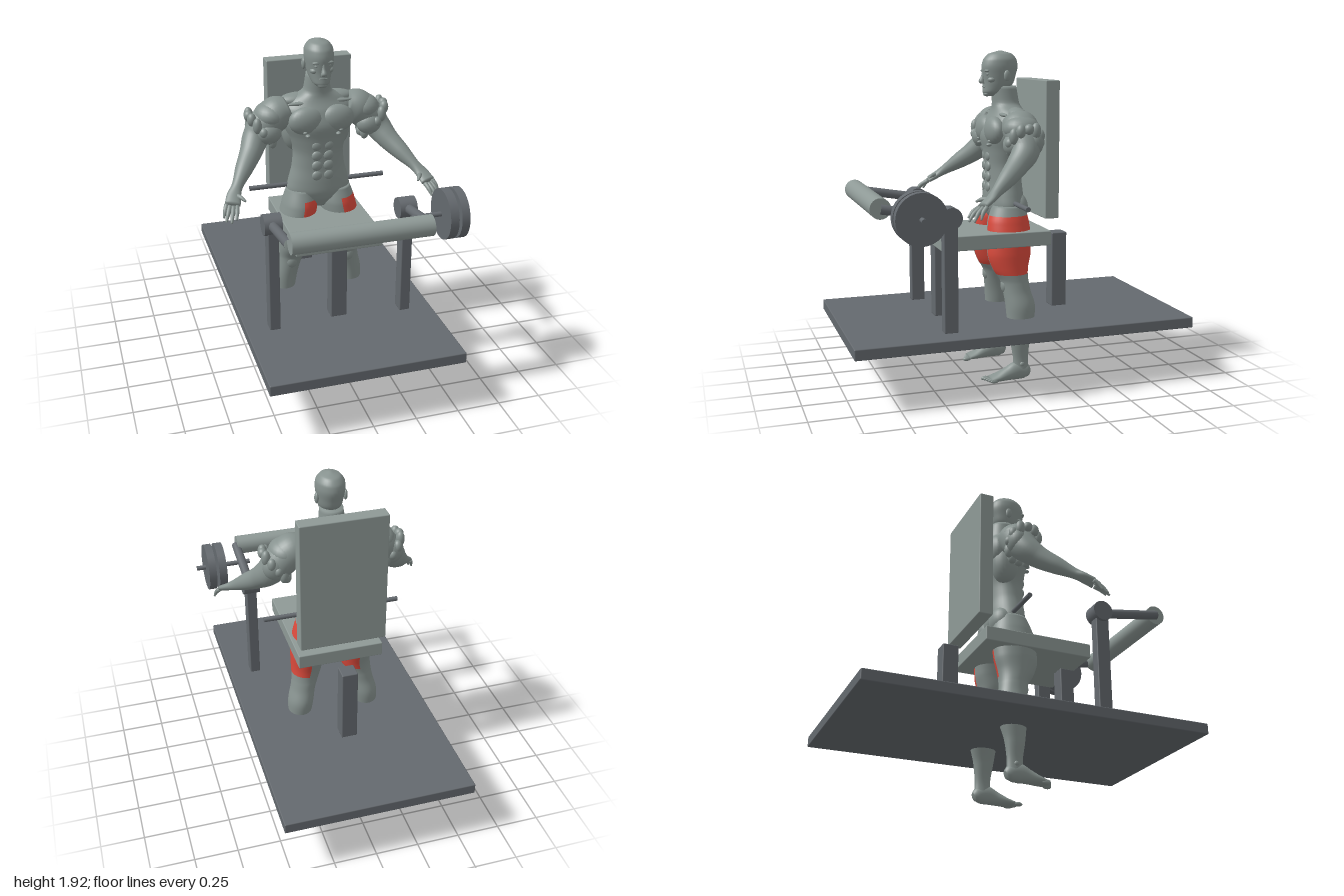
import * as THREE from 'three';
import { RoundedBoxGeometry } from 'three/addons/geometries/RoundedBoxGeometry.js';

const material = (name, color) => {
  const m = new THREE.MeshStandardMaterial({ color });
  m.name = name;
  return m;
};

// Lofts ellipses along points [x, y, z, radiusA, radiusB]; flat keeps every ring horizontal.
// isAccent(point, angle) sends a face to the second material group.
function loft(points, { steps = 40, sides = 32, flat = false, isAccent = null } = {}) {
  const path = new THREE.CatmullRomCurve3(points.map(p => new THREE.Vector3(p[0], p[1], p[2])));
  const size = new THREE.CatmullRomCurve3(points.map(p => new THREE.Vector3(p[3], p[4], 0)));
  const positions = [], faces = [[], []], X = new THREE.Vector3(1, 0, 0);
  const centres = [];
  for (let i = 0; i <= steps; i++) {
    const c = path.getPoint(i / steps), r = size.getPoint(i / steps);
    const n = flat ? new THREE.Vector3(0, 1, 0) : path.getTangent(i / steps);
    const u = X.clone().addScaledVector(n, -X.dot(n)).normalize();
    const v = n.clone().cross(u);
    centres.push(c);
    for (let j = 0; j < sides; j++) {
      const a = (j / sides) * Math.PI * 2;
      const p = c.clone().addScaledVector(u, r.x * Math.cos(a)).addScaledVector(v, r.y * Math.sin(a));
      positions.push(p.x, p.y, p.z);
    }
  }
  for (let i = 0; i < steps; i++) for (let j = 0; j < sides; j++) {
    const k = (j + 1) % sides, a = i * sides + j, b = i * sides + k;
    const accent = isAccent && isAccent(centres[i], ((j + 0.5) / sides) * Math.PI * 2) ? 1 : 0;
    faces[accent].push(a, b, a + sides, b, b + sides, a + sides);
  }
  // End caps
  const first = positions.length / 3, last = steps * sides;
  for (const c of [centres[0], centres[steps]]) positions.push(c.x, c.y, c.z);
  for (let j = 0; j < sides; j++) {
    const k = (j + 1) % sides;
    faces[0].push(first, k, j, first + 1, last + j, last + k);
  }
  const g = new THREE.BufferGeometry();
  g.setAttribute('position', new THREE.Float32BufferAttribute(positions, 3));
  g.setIndex([...faces[0], ...faces[1]]);
  if (isAccent) {
    g.addGroup(0, faces[0].length, 0);
    g.addGroup(faces[0].length, faces[1].length, 1);
  }
  g.computeVertexNormals();
  return g;
}

export function createModel() {
  const steel = material('dark steel', 0x64696e);
  const padding = material('light padding', 0x8e9996);
  const skin = material('grey skin', 0x87928f);
  const red = material('highlighted muscle', 0xda4a3c);

  const model = new THREE.Group();
  const centred = new THREE.Group();
  centred.position.x = -0.024;
  model.add(centred);
  const machine = new THREE.Group(), figure = new THREE.Group();
  machine.name = 'machine';
  figure.name = 'figure';
  centred.add(machine, figure);

  const add = (parent, name, geometry, mat, x = 0, y = 0, z = 0) => {
    const mesh = new THREE.Mesh(geometry, mat);
    mesh.name = name;
    mesh.position.set(x, y, z);
    parent.add(mesh);
    return mesh;
  };
  const box = (name, mat, w, y0, y1, z0, z1, x = 0) =>
    add(machine, name, new RoundedBoxGeometry(w, y1 - y0, z1 - z0, 2, 0.006), mat, x, (y0 + y1) / 2, (z0 + z1) / 2);
  const rod = (name, mat, r, x0, x1, y, z) =>
    add(machine, name, new THREE.CylinderGeometry(r, r, x1 - x0, 40).rotateZ(Math.PI / 2), mat, (x0 + x1) / 2, y, z);
  const blob = (name, x, y, z, rx, ry, rz) =>
    add(figure, name, new THREE.SphereGeometry(1, 24, 16).scale(rx, ry, rz), skin, x, y, z);

  // Base, seat and posts
  box('basePlate', steel, 1.108, 0.315, 0.378, -1, 1);
  box('seat', padding, 0.51, 0.802, 0.888, -0.22, 0.437);
  box('backrest', padding, 0.51, 0.96, 1.757, -0.265, -0.18);
  box('seatPost', steel, 0.095, 0.375, 0.805, 0.345, 0.43);
  box('rearPost', steel, 0.095, 0.375, 0.833, -0.4, -0.305);

  // Swinging leg frame
  for (const s of [-1, 1]) {
    box('sidePost', steel, 0.062, 0.375, 0.99, 0.392, 0.473, s * 0.39);
    rod('pivot', steel, 0.06, s * 0.39 - 0.05, s * 0.39 + 0.05, 1.025, 0.43);
    const arm = new THREE.LineCurve3(new THREE.Vector3(s * 0.392, 1.025, 0.43), new THREE.Vector3(s * 0.392, 1.09, 0.815));
    add(machine, 'swingArm', new THREE.TubeGeometry(arm, 1, 0.027, 24), steel);
  }
  rod('roller', padding, 0.058, -0.388, 0.39, 1.092, 0.813);
  rod('weightBar', steel, 0.014, 0.345, 0.68, 1.062, 0.643);
  rod('innerPlate', steel, 0.142, 0.513, 0.562, 1.062, 0.643);
  rod('outerPlate', steel, 0.142, 0.579, 0.625, 1.062, 0.643);
  rod('hipBar', steel, 0.014, -0.41, 0.41, 1.047, -0.02);

  // Torso and neck
  add(figure, 'torso', loft([
    [0, 0.92, 0, 0.06, 0.06], [0, 0.98, -0.003, 0.165, 0.1], [0, 1.03, -0.005, 0.19, 0.114],
    [0, 1.09, -0.005, 0.178, 0.112], [0, 1.17, -0.005, 0.157, 0.106], [0, 1.25, -0.007, 0.15, 0.108],
    [0, 1.35, -0.012, 0.175, 0.122], [0, 1.44, -0.018, 0.208, 0.14], [0, 1.52, -0.027, 0.205, 0.122],
    [0, 1.575, -0.03, 0.15, 0.095], [0, 1.62, -0.023, 0.08, 0.08], [0, 1.72, -0.01, 0.066, 0.075],
  ], { steps: 60, sides: 40, flat: true }), skin);

  // Head and face
  add(figure, 'head', loft([
    [0, 1.662, 0.075, 0.022, 0.025], [0, 1.685, 0.055, 0.05, 0.062], [0, 1.73, 0.025, 0.067, 0.09],
    [0, 1.78, 0.018, 0.076, 0.1], [0, 1.83, 0.014, 0.083, 0.108], [0, 1.87, 0.012, 0.08, 0.1],
    [0, 1.905, 0.01, 0.056, 0.07], [0, 1.922, 0.01, 0.008, 0.01],
  ], { flat: true }), skin);
  add(figure, 'nose', loft([
    [0, 1.735, 0.118, 0.018, 0.014], [0, 1.748, 0.123, 0.017, 0.018], [0, 1.775, 0.115, 0.01, 0.013], [0, 1.81, 0.108, 0.008, 0.01],
  ], { steps: 12, sides: 16, flat: true }), skin);
  blob('upperLip', 0, 1.716, 0.108, 0.026, 0.006, 0.01);
  blob('lowerLip', 0, 1.705, 0.104, 0.022, 0.007, 0.011);
  blob('chin', 0, 1.675, 0.092, 0.03, 0.016, 0.022);

  for (const s of [-1, 1]) {
    blob('ear', s * 0.083, 1.78, -0.005, 0.012, 0.032, 0.02);
    blob('brow', s * 0.034, 1.808, 0.103, 0.028, 0.008, 0.013);
    blob('eye', s * 0.034, 1.788, 0.096, 0.015, 0.009, 0.012);
    blob('cheek', s * 0.042, 1.757, 0.075, 0.026, 0.018, 0.025);

    // Torso muscles
    blob('chestMuscle', s * 0.088, 1.465, 0.073, 0.105, 0.082, 0.055);
    blob('trapezius', s * 0.1, 1.56, -0.045, 0.12, 0.04, 0.06);
    blob('shoulderBlade', s * 0.1, 1.47, -0.105, 0.1, 0.1, 0.055);
    blob('backMuscle', s * 0.125, 1.39, -0.05, 0.082, 0.14, 0.085);
    blob('collarBone', s * 0.1, 1.558, 0.035, 0.09, 0.012, 0.016);
    blob('buttock', s * 0.088, 1.01, -0.06, 0.088, 0.09, 0.068);
    for (let i = 0; i < 4; i++) blob('abdominal', s * 0.033, 1.13 + i * 0.062, 0.094, 0.032, 0.031, 0.017);
    for (let i = 0; i < 9; i++) // rough folds beside the armpit
      blob('chestFold', s * (0.09 + 0.016 * (i % 4)), 1.385 + 0.022 * ((i * 5) % 4), 0.107 - 0.004 * (i % 4), 0.014, 0.01, 0.018);

    // Arm
    add(figure, 'arm', loft([
      [s * 0.17, 1.515, -0.03, 0.07, 0.085], [s * 0.24, 1.49, -0.03, 0.1, 0.105], [s * 0.31, 1.43, -0.03, 0.095, 0.1],
      [s * 0.365, 1.365, -0.015, 0.078, 0.08], [s * 0.41, 1.3, 0.045, 0.064, 0.064], [s * 0.47, 1.235, 0.125, 0.05, 0.05],
      [s * 0.53, 1.17, 0.21, 0.032, 0.029], [s * 0.556, 1.14, 0.25, 0.04, 0.022], [s * 0.575, 1.108, 0.3, 0.044, 0.018],
    ], { steps: 48 }), skin);
    blob('deltoid', s * 0.275, 1.49, -0.025, 0.095, 0.075, 0.105);
    blob('biceps', s * 0.3, 1.4, 0.03, 0.075, 0.065, 0.06);
    blob('triceps', s * 0.34, 1.42, -0.07, 0.075, 0.08, 0.06);
    for (let i = 0; i < 12; i++) { // rough folds around the upper arm
      const a = (i / 12) * Math.PI * 2;
      blob('armFold', s * (0.335 + 0.068 * Math.cos(a)), 1.415 + 0.08 * Math.cos(a), -0.025 + 0.088 * Math.sin(a),
        0.026, 0.03 + 0.008 * (i % 3), 0.028);
    }

    // Fingers and thumb: knuckle, then tip
    const fingers = [
      [0.606, 1.108, 0.285, 0.632, 1.045, 0.325], [0.59, 1.103, 0.3, 0.625, 1.035, 0.36],
      [0.572, 1.1, 0.31, 0.6, 1.035, 0.383], [0.552, 1.1, 0.312, 0.57, 1.05, 0.378], [0.545, 1.14, 0.25, 0.505, 1.125, 0.315],
    ];
    for (const [x0, y0, z0, x1, y1, z1] of fingers) add(figure, 'finger', loft([
      [s * x0, y0, z0, 0.013, 0.013], [s * (x0 + x1) / 2, (y0 + y1) / 2 + 0.006, (z0 + z1) / 2 + 0.004, 0.012, 0.012],
      [s * x1, y1, z1, 0.006, 0.006],
    ], { steps: 8, sides: 12 }), skin);

    // Leg, with the +x side of each thigh highlighted
    add(figure, 'leg', loft([
      [s * 0.23, 0.05, -0.04, 0.035, 0.05], [s * 0.23, 0.12, -0.04, 0.031, 0.046], [s * 0.225, 0.24, -0.037, 0.046, 0.06],
      [s * 0.212, 0.36, -0.045, 0.07, 0.082], [s * 0.203, 0.45, -0.045, 0.077, 0.088], [s * 0.185, 0.53, -0.03, 0.075, 0.083],
      [s * 0.17, 0.59, -0.02, 0.08, 0.084], [s * 0.155, 0.66, 0, 0.092, 0.106], [s * 0.147, 0.75, 0.005, 0.1, 0.13],
      [s * 0.13, 0.86, 0, 0.109, 0.131], [s * 0.115, 0.94, 0, 0.106, 0.123], [s * 0.105, 1.03, -0.005, 0.085, 0.095],
    ], { steps: 88, sides: 40, flat: true, isAccent: (c, a) => c.y > 0.628 && c.y < 0.968 && Math.cos(a) > 0 }), [skin, red]);
    blob('kneeCap', s * 0.178, 0.565, 0.038, 0.035, 0.045, 0.028);
    blob('ankleBone', s * 0.255, 0.1, -0.04, 0.013, 0.016, 0.016);

    // Foot
    add(figure, 'foot', loft([
      [s * 0.23, 0.035, -0.092, 0.02, 0.024], [s * 0.23, 0.045, -0.07, 0.033, 0.044], [s * 0.23, 0.056, -0.02, 0.037, 0.055],
      [s * 0.23, 0.042, 0.04, 0.039, 0.041], [s * 0.228, 0.027, 0.1, 0.046, 0.026], [s * 0.226, 0.018, 0.15, 0.046, 0.016],
    ], { steps: 24, sides: 24 }), skin);
    for (let i = 0; i < 5; i++)
      blob('toe', s * (0.19 + 0.019 * i), 0.014, 0.168 - 0.009 * i, i ? 0.009 : 0.014, i ? 0.011 : 0.013, 0.026);
  }
  return model;
}
